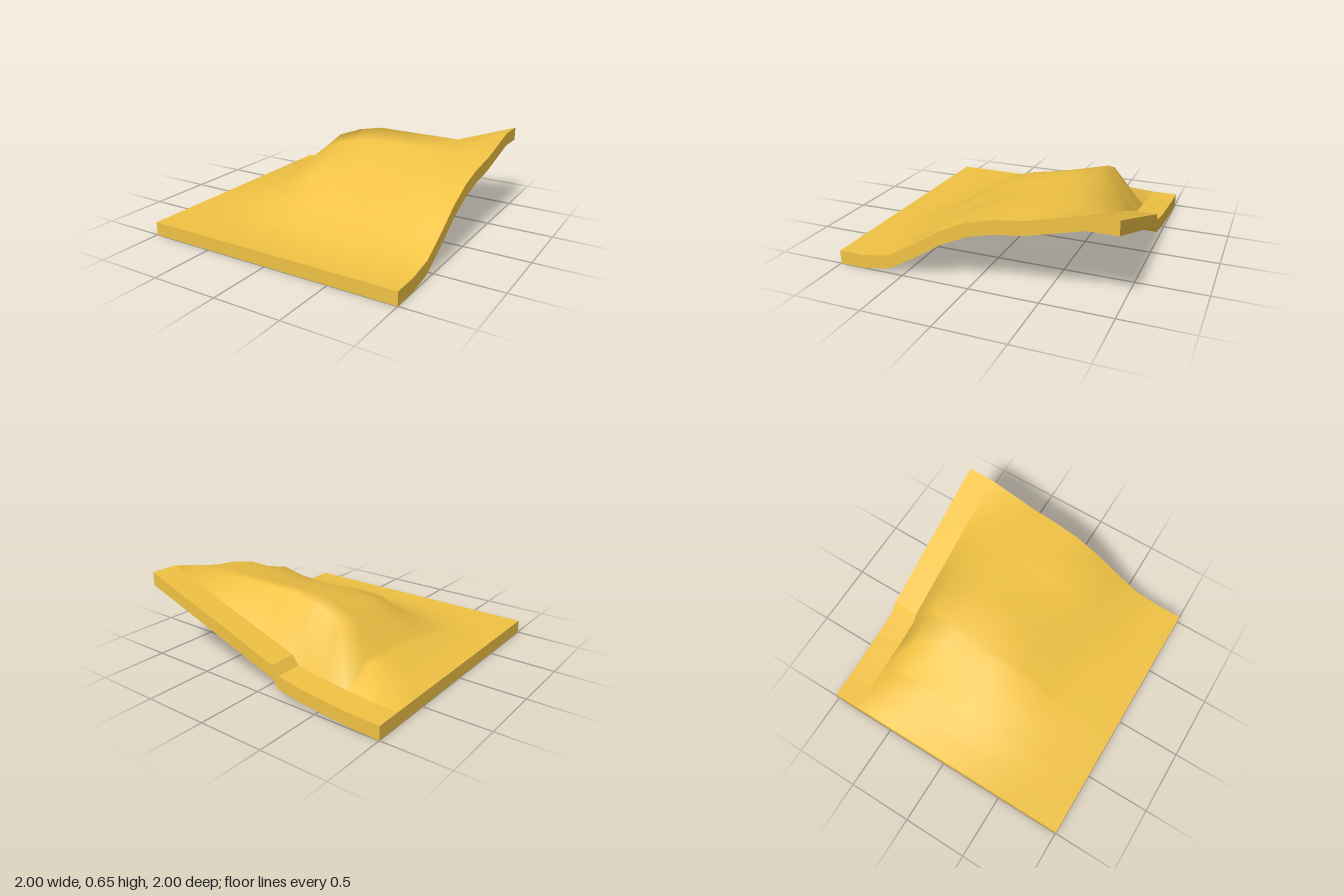
import * as THREE from 'three';

const THICK = 0.1;
const material = new THREE.MeshStandardMaterial({ color: 0xf0c244 });

// Top heights of the hill: one row per z, one value per 0.2 step of x from -1 to 1
const hillRows = [
  { z: 1.0, h: [0.1, 0.1, 0.1, 0.1, 0.1, 0.1, 0.1, 0.1, 0.1, 0.1, 0.1] },
  { z: 0.8, h: [0.1, 0.1, 0.1, 0.1, 0.1, 0.1, 0.1, 0.1, 0.1, 0.1, 0.1] },
  { z: 0.6, h: [0.1, 0.1, 0.11, 0.12, 0.125, 0.135, 0.155, 0.165, 0.16, 0.15, 0.135] },
  { z: 0.4, h: [0.1, 0.115, 0.14, 0.18, 0.22, 0.25, 0.26, 0.265, 0.26, 0.25, 0.25] },
  { z: 0.2, h: [0.1, 0.13, 0.18, 0.27, 0.37, 0.385, 0.365, 0.355, 0.375, 0.415, 0.38] },
  { z: 0.0, h: [0.1, 0.145, 0.215, 0.35, 0.43, 0.455, 0.45, 0.445, 0.46, 0.47, 0.475] },
  { z: -0.2, h: [0.1, 0.16, 0.235, 0.4, 0.465, 0.515, 0.52, 0.505, 0.52, 0.525, 0.525] },
  { z: -0.4, h: [0.1, 0.17, 0.245, 0.44, 0.51, 0.545, 0.55, 0.55, 0.55, 0.55, 0.55] },
  { z: -0.6, h: [0.1, 0.19, 0.25, 0.485, 0.56, 0.6, 0.6, 0.6, 0.6, 0.6, 0.6] },
];

// Profile of the back strip, as x and top height
const stripProfile = [[-1, 0.1], [-0.82, 0.105], [-0.64, 0.12], [-0.4, 0.145],
  [-0.28, 0.165], [-0.2, 0.18], [-0.15, 0.245], [1, 0.65]];

// Height at x on a polyline of [x, height] points
function heightAt(points, x) {
  let i = 1;
  while (i < points.length - 1 && points[i][0] < x) i++;
  const [x0, y0] = points[i - 1], [x1, y1] = points[i];
  return y0 + (y1 - y0) * (x - x0) / (x1 - x0);
}

// Grid through rows of points; flip turns its face round, faceted keeps its folds sharp
function sheet(rows, flip, faceted) {
  const n = rows[0].length, index = [];
  for (let r = 0; r < rows.length - 1; r++) {
    for (let c = 0; c < n - 1; c++) {
      const a = r * n + c, b = a + 1, d = a + n, e = d + 1;
      if (flip) index.push(a, d, b, b, d, e);
      else index.push(a, b, d, b, e, d);
    }
  }
  const indexed = new THREE.BufferGeometry().setFromPoints(rows.flat());
  indexed.setIndex(index);
  const geometry = faceted ? indexed.toNonIndexed() : indexed;
  geometry.computeVertexNormals();
  return geometry;
}

const lower = (p) => new THREE.Vector3(p.x, p.y - THICK, p.z);

// Upright wall hanging below a line of top points
const wall = (line, flip) => sheet([line.map(lower), line], flip, false);

function addMesh(group, name, geometry) {
  const mesh = new THREE.Mesh(geometry, material);
  mesh.name = name;
  group.add(mesh);
}

// Slab of constant thickness whose rows run from front to back
function addSlab(parent, name, rows, faceted) {
  const group = new THREE.Group();
  group.name = name;
  addMesh(group, 'topSurface', sheet(rows, false, faceted));
  addMesh(group, 'underside', sheet(rows.map((row) => row.map(lower)), true, faceted));
  addMesh(group, 'leftEdge', wall(rows.map((row) => row[row.length - 1]), false));
  addMesh(group, 'rightEdge', wall(rows.map((row) => row[0]), true));
  parent.add(group);
  return group;
}

export function createModel() {
  const model = new THREE.Group();
  model.name = 'terrainSlab';

  // Shared columns let the hill and the strip meet without gaps
  const gridX = Array.from({ length: 11 }, (_, i) => (i * 2 - 10) / 10);
  const xs = [...new Set([...gridX, ...stripProfile.map((p) => p[0])])].sort((a, b) => a - b);
  const makeRow = (points, z) => xs.map((x) => new THREE.Vector3(x, heightAt(points, x), z));

  // Hill, ending in the back strip's profile
  const hill = hillRows.map(({ z, h }) => makeRow(h.map((y, i) => [gridX[i], y]), z));
  const joint = makeRow(stripProfile, -0.8);
  const hillGroup = addSlab(model, 'hill', [...hill, joint], false);
  addMesh(hillGroup, 'frontEdge', wall(hill[0], false));

  // Stepped strip along the back
  const back = makeRow(stripProfile, -1);
  const stripGroup = addSlab(model, 'backStrip', [joint, back], true);
  addMesh(stripGroup, 'backEdge', wall(back, true));

  return model;
}
